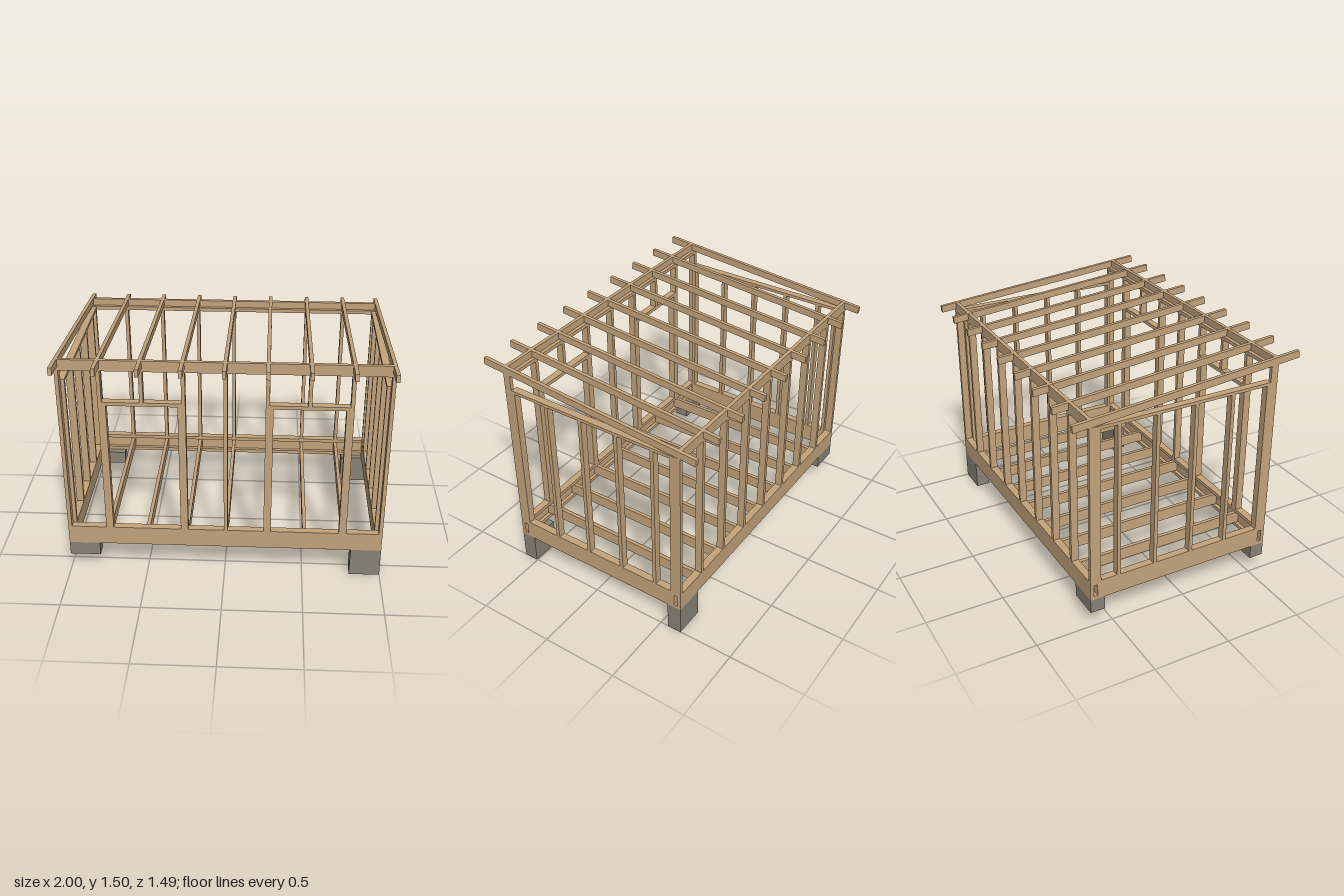
import * as THREE from 'three';

export function createModel() {
  const model = new THREE.Group();
  const wood = new THREE.MeshStandardMaterial({ color: 0xc4a47c });
  wood.name = 'timber';
  const stone = new THREE.MeshStandardMaterial({ color: 0x8a8377 });
  stone.name = 'concrete';

  const T = 0.0235; // board thickness
  const D = 0.047; // wall depth
  const front = 0.6, back = -0.645; // outer wall faces
  const frontIn = front - D, backIn = back + D;
  const floorY = 0.19, sillY = floorY + T, soleY = 0.315;
  const frontTop = 1.442, backTop = 1.34, sideTop = 1.337;

  // Box given by its limits on each axis
  function board(name, x0, x1, y0, y1, z0, z1, material = wood) {
    const mesh = new THREE.Mesh(new THREE.BoxGeometry(x1 - x0, y1 - y0, z1 - z0), material);
    mesh.position.set((x0 + x1) / 2, (y0 + y1) / 2, (z0 + z1) / 2);
    mesh.name = name;
    model.add(mesh);
    return mesh;
  }

  // Shared spacing of joists, studs and rafters
  const inner = [];
  for (let i = 0; i < 7; i++) inner.push(-0.743 + i * 0.2503);
  const spacing = [-1 + T / 2, ...inner, 1 - T / 2];

  // Foundation blocks, lower on the left-hand end
  for (const [x0, x1, y0] of [[-1, -0.805, 0.1], [0.805, 1, 0]]) {
    board('foundationBlock', x0, x1, y0, floorY, front - 0.094, front, stone);
    board('foundationBlock', x0, x1, y0, floorY, back, back + 0.094, stone);
  }

  // Long walls: sill, rim, sole plate, top plate and blocking between rafters
  for (const [side, z0, z1, r0, r1, top] of [
    ['front', frontIn, front, front - T, front, frontTop],
    ['back', back, backIn, back, back + T, backTop],
  ]) {
    board(side + 'Sill', -1, 1, floorY, sillY, z0, z1);
    board(side + 'Rim', -1, 1, sillY, soleY - T, r0, r1);
    board(side + 'SolePlate', -1, 1, soleY - T, soleY, z0, z1);
    board(side + 'TopPlate', -1, 1, top - T, top, z0, z1);
    for (let i = 0; i < spacing.length - 1; i++) {
      board(side + 'Blocking', spacing[i] + T / 2, spacing[i + 1] - T / 2, top, top + 0.046, r0, r1);
    }
  }

  // Floor joists
  for (const x of inner) {
    board('floorJoist', x - T / 2, x + T / 2, sillY, soleY - T, back + T, front - T);
  }

  // Wall studs; the front has short studs over its two openings
  const headerTop = 1.214;
  spacing.forEach((x, i) => {
    board('backStud', x - T / 2, x + T / 2, soleY, backTop - T, back, backIn);
    const overOpening = i === 2 || i === 6;
    board(overOpening ? 'crippleStud' : 'frontStud', x - T / 2, x + T / 2,
      overOpening ? headerTop : soleY, frontTop - T, frontIn, front);
  });

  // Opening headers and the trimmers that carry them
  for (const i of [1, 5]) {
    const x0 = spacing[i] + T / 2, x1 = spacing[i + 2] - T / 2;
    board('header', x0, x1, headerTop - T, headerTop, frontIn, front);
    board('trimmer', x0, x0 + T, soleY, headerTop - T, frontIn, front);
    board('trimmer', x1 - T, x1, soleY, headerTop - T, frontIn, front);
  }

  // End walls
  const sideStuds = [frontIn - T / 2, 0.292, 0.044, -0.208, -0.456, backIn + T / 2];
  for (const [x0, x1] of [[-1, -1 + D], [1 - D, 1]]) {
    board('endRim', x0, x1, floorY, soleY, backIn, frontIn);
    board('sideTopPlate', x0, x1, sideTop - T * 0.85, sideTop, backIn, frontIn);
    for (const z of sideStuds) {
      board('sideStud', x0, x1, soleY, sideTop - T * 0.85, z - T / 2, z + T / 2);
    }
  }

  // Sloping rafters
  for (const x of spacing) {
    const rafter = board('rafter', x - T / 2, x + T / 2, 1.393, 1.439, -0.748, 0.748);
    rafter.rotation.x = -0.083;
  }

  return model;
}
